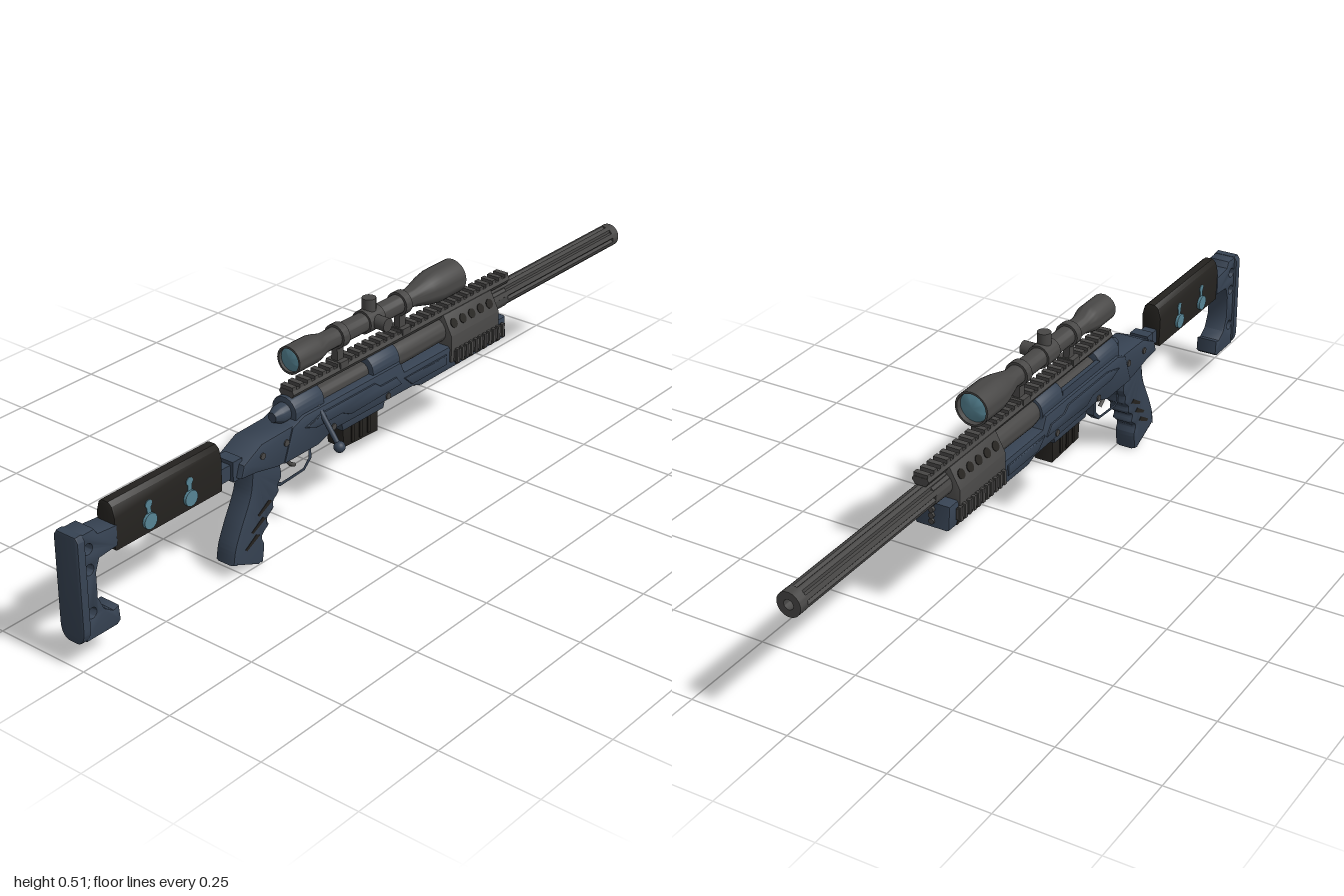
import * as THREE from 'three';
import { toCreasedNormals } from 'three/addons/utils/BufferGeometryUtils.js';

const material = (name, color, side = THREE.FrontSide) => {
  const m = new THREE.MeshStandardMaterial({ color, side });
  m.name = name;
  return m;
};

export function createModel() {
  const slate = material('slate blue', 0x364252);
  const gunmetal = material('gunmetal', 0x484746);
  const black = material('warm black', 0x24221f);
  const glass = material('blue glass', 0x568494);

  const model = new THREE.Group();
  model.name = 'boltActionRifle';
  const rifle = new THREE.Group();
  rifle.name = 'rifle';
  rifle.position.x = -0.026;
  model.add(rifle);

  const add = (name, geometry, mat, x = 0, y = 0, z = 0) => {
    const mesh = new THREE.Mesh(geometry, mat);
    mesh.name = name;
    mesh.position.set(x, y, z);
    rifle.add(mesh);
    return mesh;
  };
  const box = (name, mat, w, h, d, x, y, z) => add(name, new THREE.BoxGeometry(w, h, d), mat, x, y, z);
  const vecs = (pts) => pts.map(([a, b]) => new THREE.Vector2(a, b));
  const circlePath = (x, y, r) => new THREE.Path().absarc(x, y, r, 0, Math.PI * 2, true);

  // Extrude a shape by depth with bevels kept inside the outline, centred on its depth
  const slab = (shape, depth, bevel) => {
    const g = new THREE.ExtrudeGeometry(shape, {
      depth: depth - 2 * bevel, bevelEnabled: bevel > 0, bevelSize: bevel,
      bevelThickness: bevel, bevelOffset: -bevel, bevelSegments: 2, curveSegments: 16,
    });
    g.translate(0, 0, bevel - depth / 2);
    return toCreasedNormals(g, 0.6);
  };
  // Side outline given as [z, y], with a width across x
  const profile = (name, mat, pts, width, bevel = 0.005, holes = [], x = 0) => {
    const shape = pts instanceof THREE.Shape ? pts : new THREE.Shape(vecs(pts));
    shape.holes.push(...holes);
    return add(name, slab(shape, width, bevel).rotateY(-Math.PI / 2), mat, x);
  };
  // Cross-section given as [x, y], run along z
  const section = (name, mat, shape, z0, z1, bevel = 0) =>
    add(name, slab(shape, z1 - z0, bevel), mat, 0, 0, (z0 + z1) / 2);
  // Turned part along z; points are [radius, z] with z rising
  const turned = (name, mat, pts, y) =>
    add(name, toCreasedNormals(new THREE.LatheGeometry(vecs(pts), 32).rotateX(Math.PI / 2), 0.5), mat, 0, y);
  const drum = (name, mat, r, z0, z1, y) => turned(name, mat, [[0, z0], [r, z0], [r, z1], [0, z1]], y);
  const rod = (name, mat, a, b, r) => {
    const from = new THREE.Vector3(...a), dir = new THREE.Vector3(...b).sub(from);
    const mesh = add(name, new THREE.CylinderGeometry(r, r, dir.length(), 16), mat);
    mesh.position.copy(from).addScaledVector(dir, 0.5);
    mesh.quaternion.setFromUnitVectors(new THREE.Vector3(0, 1, 0), dir.normalize());
    return mesh;
  };
  // Short cylinder across x
  const sideDisc = (name, mat, r, w, x, y, z) =>
    add(name, new THREE.CylinderGeometry(r, r, w, 20).rotateZ(Math.PI / 2), mat, x, y, z);

  // Chassis: rear block, body and fore-end
  profile('rearChassis', slate, [[0.51, 0.255], [0.5, 0.285], [0.44, 0.315], [0.32, 0.318],
    [0.32, 0.235], [0.39, 0.235], [0.46, 0.25]], 0.082);
  profile('chassis', slate, [[0.34, 0.315], [0.3, 0.33], [-0.05, 0.33], [-0.065, 0.3], [-0.47, 0.3],
    [-0.474, 0.24], [-0.13, 0.238], [-0.1, 0.248], [0.2, 0.252], [0.25, 0.235], [0.37, 0.235]], 0.09, 0.006);
  profile('magazineWell', slate, [[0.165, 0.26], [-0.005, 0.26], [0.005, 0.228], [0.155, 0.228]], 0.074);
  for (const s of [-1, 1]) {
    profile('receiverPanel', slate, [[0.3, 0.3], [0.24, 0.315], [0.05, 0.315], [0.03, 0.3], [-0.03, 0.3],
      [-0.05, 0.275], [0.14, 0.27], [0.17, 0.285], [0.26, 0.285]], 0.012, 0.003, [], s * 0.043);
    profile('foreEndPanel', slate, [[-0.06, 0.285], [-0.225, 0.285], [-0.225, 0.258], [-0.09, 0.258]],
      0.01, 0.003, [], s * 0.044);
    for (const [z, y] of [[0.44, 0.285], [0.36, 0.285], [0.2, 0.262], [0, 0.262]])
      sideDisc('chassisScrew', gunmetal, 0.008, 0.008, s * (z > 0.34 ? 0.04 : 0.044), y, z);
    for (let i = 0; i < 7; i++) {
      const z = -0.26 - i * 0.028;
      profile('foreEndVent', black, [[z, 0.252], [z - 0.012, 0.252], [z - 0.018, 0.243], [z - 0.006, 0.243]],
        0.002, 0, [], s * 0.0455);
    }
  }
  for (let i = 0; i < 11; i++) box('lowerRailTooth', slate, 0.036, 0.014, 0.009, 0, 0.233, -0.14 - i * 0.0167);
  for (let i = 0; i < 3; i++) drum('foreEndBolt', gunmetal, 0.007, -0.478, -0.47, 0.255 + i * 0.015);

  // Receiver, split by the open loading port
  const dome = () => new THREE.Shape().moveTo(-0.037, 0.3).lineTo(0.037, 0.3).lineTo(0.037, 0.335)
    .absarc(0, 0.335, 0.037, 0, Math.PI, false).lineTo(-0.037, 0.3);
  section('frontReceiver', slate, dome(), -0.055, 0.045, 0.003);
  section('rearReceiver', slate, dome(), 0.22, 0.32, 0.004);
  box('portWall', slate, 0.012, 0.03, 0.18, -0.031, 0.337, 0.13);
  drum('bolt', gunmetal, 0.023, 0.03, 0.23, 0.332);
  turned('boltShroud', slate, [[0, 0.3], [0.024, 0.3], [0.022, 0.34], [0.012, 0.36], [0, 0.36]], 0.335);
  rod('boltArm', slate, [0.025, 0.338, 0.24], [0.096, 0.243, 0.24], 0.0065);
  add('boltKnob', new THREE.SphereGeometry(0.014, 20, 14), slate, 0.096, 0.243, 0.24);

  // Fluted barrel with an open bore
  const fluted = new THREE.Shape(Array.from({ length: 96 }, (_, i) => {
    const a = i / 96 * Math.PI * 2;
    const r = 0.03 - 0.006 * Math.max(0, Math.cos(a * 8) - 0.25) / 0.75;
    return new THREE.Vector2(r * Math.cos(a), 0.335 + r * Math.sin(a));
  }));
  fluted.holes.push(circlePath(0, 0.335, 0.012));
  section('barrel', gunmetal, fluted, -0.975, -0.42);
  const crown = new THREE.Shape().absarc(0, 0.335, 0.03, 0, Math.PI * 2, false);
  crown.holes.push(circlePath(0, 0.335, 0.012));
  section('muzzleCrown', gunmetal, crown, -1, -0.975);
  drum('bore', black, 0.0125, -0.96, -0.95, 0.335);
  turned('barrelShank', gunmetal, [[0, -0.5], [0.03, -0.5], [0.032, -0.25], [0.034, -0.08], [0.03, -0.05], [0, -0.05]], 0.333);

  // Heat shield with oval vents and ribbed side rails
  section('heatShield', gunmetal, new THREE.Shape(vecs([[-0.05, 0.258], [0.05, 0.258], [0.05, 0.328],
    [0.024, 0.378], [-0.024, 0.378], [-0.05, 0.328]])), -0.435, -0.24, 0.003);
  for (const s of [-1, 1]) {
    for (let i = 0; i < 5; i++) {
      const vent = add('shieldVent', new THREE.CylinderGeometry(0.012, 0.012, 0.003, 20), black,
        s * 0.0375, 0.353, -0.265 - i * 0.036);
      vent.rotation.z = -s * 1.09;
    }
    box('sideRail', gunmetal, 0.008, 0.028, 0.2, s * 0.052, 0.274, -0.35);
    for (let i = 0; i < 11; i++) box('sideRailTooth', gunmetal, 0.009, 0.036, 0.009, s * 0.055, 0.274, -0.258 - i * 0.0185);
  }

  // Top rail
  section('topRail', gunmetal, new THREE.Shape(vecs([[-0.014, 0.366], [0.014, 0.366], [0.022, 0.378],
    [0.018, 0.386], [-0.018, 0.386], [-0.022, 0.378]])), -0.515, 0.31);
  for (let i = 0; i < 32; i++) box('topRailTooth', gunmetal, 0.036, 0.01, 0.014, 0, 0.39, 0.302 - i * 0.0261);

  // Telescopic sight
  const eye = 0.455;
  turned('scopeBody', gunmetal, [[0, -0.292], [0.037, -0.292], [0.038, -0.305], [0.043, -0.305], [0.043, -0.225],
    [0.037, -0.19], [0.024, -0.14], [0.024, 0.185], [0.031, 0.21], [0.034, 0.225], [0.034, 0.3],
    [0.029, 0.3], [0.029, 0.292], [0, 0.292]], eye);
  turned('frontLens', glass, [[0, -0.303], [0.025, -0.298], [0.037, -0.292]], eye);
  turned('eyeLens', glass, [[0.029, 0.292], [0.018, 0.296], [0, 0.298]], eye);
  drum('turretHousing', gunmetal, 0.029, -0.012, 0.042, eye);
  rod('elevationTurret', gunmetal, [0, eye, 0.015], [0, 0.51, 0.015], 0.017);
  rod('windageTurret', gunmetal, [0, eye, 0.015], [0.057, eye, 0.015], 0.017);
  for (const z of [0.13, -0.1]) {
    drum('scopeRing', gunmetal, 0.03, z - 0.011, z + 0.011, eye);
    box('scopePillar', gunmetal, 0.017, 0.05, 0.022, 0, 0.412, z);
    box('scopeClamp', gunmetal, 0.044, 0.016, 0.03, 0, 0.388, z);
  }

  // Magazine
  profile('magazine', black, [[0.147, 0.25], [0.013, 0.25], [0.013, 0.168], [0.14, 0.174]], 0.052, 0.004);
  for (const s of [-1, 1])
    for (const z of [0.05, 0.08, 0.11]) box('magazineRib', black, 0.006, 0.05, 0.01, s * 0.026, 0.205, z);

  // Trigger and guard
  profile('triggerGuard', slate, [[0.375, 0.24], [0.365, 0.165], [0.35, 0.158], [0.265, 0.163], [0.24, 0.185], [0.24, 0.24]],
    0.022, 0.001, [new THREE.Path(vecs([[0.365, 0.236], [0.357, 0.172], [0.347, 0.166], [0.27, 0.17], [0.249, 0.19], [0.249, 0.236]]))]);
  add('trigger', new THREE.TubeGeometry(new THREE.CatmullRomCurve3([[0.31, 0.24], [0.314, 0.215], [0.305, 0.195], [0.288, 0.184]]
    .map(([z, y]) => new THREE.Vector3(0, y, z))), 12, 0.005, 8), gunmetal);

  // Pistol grip with finger grooves
  const grip = new THREE.Shape().moveTo(0.46, 0.25).lineTo(0.37, 0.25);
  grip.splineThru(vecs([[0.36, 0.2], [0.372, 0.178], [0.371, 0.16], [0.39, 0.142], [0.39, 0.125],
    [0.412, 0.108], [0.408, 0.09], [0.43, 0.07], [0.424, 0.045], [0.43, 0.002]]));
  grip.lineTo(0.448, 0).lineTo(0.533, 0.036);
  grip.splineThru(vecs([[0.525, 0.075], [0.505, 0.12], [0.47, 0.19], [0.46, 0.25]]));
  profile('grip', slate, grip, 0.06, 0.012);
  for (const s of [-1, 1])
    for (let i = 0; i < 3; i++) {
      const z = 0.4 + i * 0.022, y = 0.15 - i * 0.035;
      profile('gripGroove', black, [[z, y], [z + 0.045, y - 0.022], [z + 0.05, y - 0.017], [z + 0.012, y + 0.007]],
        0.002, 0, [], s * 0.0302);
    }

  // Folding hinge, stock bar and cheek rest
  box('hinge', slate, 0.05, 0.05, 0.03, 0, 0.272, 0.505);
  box('stockBar', slate, 0.034, 0.036, 0.42, 0, 0.27, 0.72);
  section('cheekRest', black, new THREE.Shape(vecs([[-0.025, 0.242], [0.025, 0.242], [0.027, 0.32], [0.02, 0.346],
    [0.01, 0.355], [-0.01, 0.355], [-0.02, 0.346], [-0.027, 0.32]])), 0.555, 0.885, 0.004);
  for (const s of [-1, 1])
    for (const z of [0.785, 0.66]) {
      sideDisc('cheekKnob', glass, 0.019, 0.012, s * 0.027, 0.272, z);
      box('cheekSlot', glass, 0.004, 0.034, 0.012, s * 0.0265, 0.298, z);
      sideDisc('cheekSlotEnd', glass, 0.01, 0.004, s * 0.0265, 0.312, z);
    }

  // Skeleton butt and rounded pad
  profile('butt', slate, [[0.985, 0.325], [0.945, 0.325], [0.935, 0.31], [0.88, 0.305], [0.88, 0.255], [0.935, 0.25],
    [0.946, 0.22], [0.946, 0.16], [0.93, 0.125], [0.905, 0.108], [0.888, 0.112], [0.885, 0.075], [0.895, 0.067], [0.985, 0.067]],
    0.058, 0.004, [0.285, 0.235, 0.18, 0.13].map((y) => circlePath(0.965, y, 0.012)));
  const pad = new THREE.Shape().moveTo(0.036, 0.1).lineTo(0.036, 0.315).lineTo(0.028, 0.327).lineTo(-0.028, 0.327)
    .lineTo(-0.036, 0.315).lineTo(-0.036, 0.1).bezierCurveTo(-0.036, 0.075, -0.022, 0.063, -0.012, 0.063)
    .lineTo(0.012, 0.063).bezierCurveTo(0.022, 0.063, 0.036, 0.075, 0.036, 0.1);
  section('buttPad', slate, pad, 0.978, 1, 0.004);

  return model;
}
